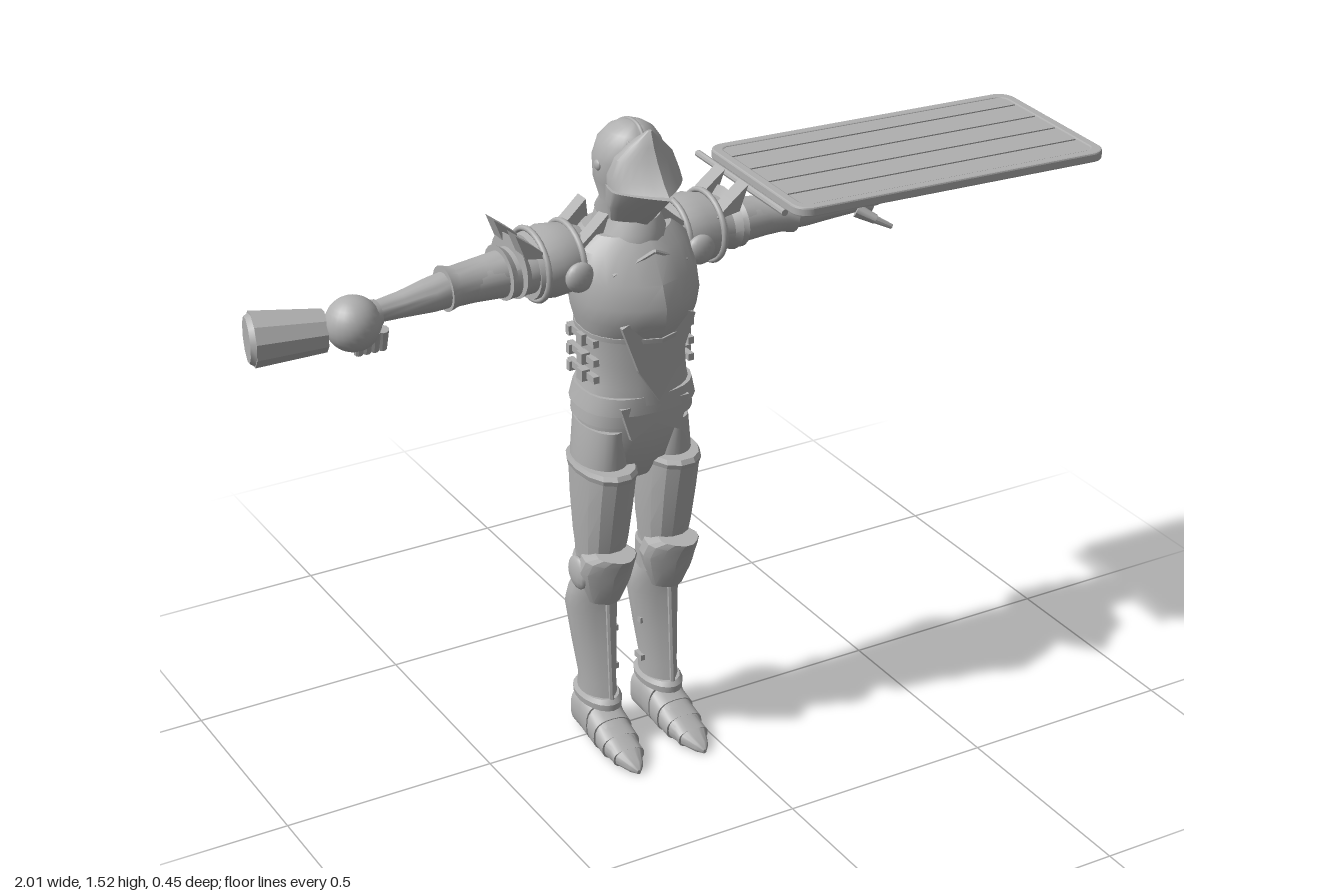
import * as THREE from 'three';
import { toCreasedNormals } from 'three/addons/utils/BufferGeometryUtils.js';

const steel = new THREE.MeshStandardMaterial({ color: 0xb0b0b0 });
steel.name = 'steel grey';
const CX = -0.142; // body centre line

function add(parent, name, geo, pos = [0, 0, 0], rot = [0, 0, 0], scale = [1, 1, 1]) {
  const m = new THREE.Mesh(geo, steel);
  m.name = name;
  m.position.set(...pos);
  m.rotation.set(...rot);
  m.scale.set(...scale);
  parent.add(m);
  return m;
}

// Closed loft. Rows: [t along axis, half width, high side, low side, sideways centre].
// keel 0 = round front, 1 = pointed front; pow < 1 squares the section off.
function loft(axis, rows, { n = 24, keel = 0, pow = 1, crease = 0.6, side = 1 } = {}) {
  const p = [], idx = [];
  const put = (t, u, v) => {
    if (axis === 'y') p.push(u, t, v);
    else if (axis === 'z') p.push(u, v, t);
    else p.push(t * side, v, u);
  };
  for (const [t, h, hi, lo, c = 0] of rows) {
    for (let i = 0; i < n; i++) {
      const a = (i / n) * Math.PI * 2, co = Math.cos(a), si = Math.sin(a);
      const u = Math.sign(co) * Math.abs(co) ** pow;
      let v = Math.sign(si) * Math.abs(si) ** pow;
      if (si > 0) v = v * (1 - keel) + (1 - Math.abs(u)) * keel;
      put(t, c + h * u, (hi + lo) / 2 + ((hi - lo) / 2) * v);
    }
  }
  const last = rows.length - 1;
  for (const k of [0, last]) put(rows[k][0], rows[k][4] || 0, (rows[k][2] + rows[k][3]) / 2);
  for (let i = 0; i < n; i++) {
    const j = (i + 1) % n;
    for (let k = 0; k < last; k++) {
      const a = k * n + i, b = k * n + j;
      idx.push(a, a + n, b, b, a + n, b + n);
    }
    idx.push(rows.length * n, i, j, rows.length * n + 1, last * n + j, last * n + i);
  }
  // turn the faces outward whichever way the axis runs
  const flip = axis === 'y' ? false : axis === 'z' ? true : side < 0;
  if (flip) for (let i = 0; i < idx.length; i += 3) [idx[i], idx[i + 1]] = [idx[i + 1], idx[i]];
  const g = new THREE.BufferGeometry();
  g.setAttribute('position', new THREE.Float32BufferAttribute(p, 3));
  g.setIndex(idx);
  return toCreasedNormals(g, crease);
}

// Tapered rod between two points
function rod(parent, name, a, b, ra, rb, n = 10) {
  const A = new THREE.Vector3(...a), B = new THREE.Vector3(...b), d = B.clone().sub(A);
  const g = toCreasedNormals(new THREE.CylinderGeometry(rb, ra, d.length(), n), 0.7);
  const m = add(parent, name, g, A.clone().add(B).multiplyScalar(0.5).toArray());
  m.quaternion.setFromUnitVectors(new THREE.Vector3(0, 1, 0), d.normalize());
  return m;
}

function fin(points, depth) {
  const s = new THREE.Shape(points.map((q) => new THREE.Vector2(...q)));
  return new THREE.ExtrudeGeometry(s, { depth, bevelEnabled: false }).translate(0, 0, -depth / 2);
}

function helmet() {
  const g = new THREE.Group();
  g.name = 'helmet';
  add(g, 'skull', loft('y', [[1.27, .06, .08, -.055], [1.305, .066, .09, -.062], [1.335, .064, .09, -.035], [1.38, .076, .1, -.05],
    [1.43, .078, .11, -.055], [1.465, .068, .105, -.045], [1.49, .05, .092, -.022], [1.505, .028, .075, .008], [1.511, .006, .055, .035]]));
  add(g, 'lowerVisor', loft('y', [[1.295, .058, .105, 0], [1.34, .074, .155, 0], [1.383, .081, .203, 0]], { keel: .75, crease: .5 }));
  add(g, 'upperVisor', loft('y', [[1.39, .082, .2, .01], [1.41, .08, .18, .015], [1.45, .066, .152, .04], [1.48, .038, .136, .07], [1.512, .005, .124, .112]],
    { keel: .6, crease: .5 }));
  for (const x of [-.035, 0, .035]) { // raised ridges over the crown
    const c = new THREE.CatmullRomCurve3([[.1, 1.478], [.07, 1.507], [.02, 1.507], [-.03, 1.475], [-.057, 1.43], [-.052, 1.385], [-.04, 1.34]]
      .map(([z, y]) => new THREE.Vector3(x * .9, y - Math.abs(x) * .55, z + Math.abs(x) * (z < 0 ? .25 : 0))));
    add(g, 'crownRidge', new THREE.TubeGeometry(c, 24, .005, 6));
  }
  for (const s of [-1, 1]) add(g, 'visorPivot', new THREE.SphereGeometry(.012, 12, 8), [s * .077, 1.42, .03], [0, 0, 0], [.5, 1, 1]);
  return g;
}

function torso() {
  const g = new THREE.Group();
  g.name = 'torso';
  add(g, 'collar', loft('y', [[1.24, .09, .12, -.07], [1.275, .075, .115, -.068], [1.3, .068, .1, -.06]]));
  add(g, 'breastplate', loft('y', [[1.05, .122, .165, -.075], [1.09, .134, .185, -.082], [1.13, .14, .19, -.085], [1.18, .14, .172, -.088],
    [1.24, .128, .137, -.08], [1.27, .095, .11, -.068]], { keel: .3, pow: .8 }));
  add(g, 'breastRim', loft('y', [[1.045, .125, .17, -.079], [1.056, .126, .172, -.079]], { keel: .3, pow: .8 }));
  add(g, 'waistPlate', loft('y', [[.89, .127, .152, -.075], [.93, .117, .15, -.068], [.98, .113, .148, -.062], [1.06, .122, .15, -.07]], { keel: .25, pow: .8 }));
  add(g, 'plackartPoint', fin([[-.09, 1.09], [0, 1.13], [.09, 1.09], [.05, .98], [0, .9], [-.05, .98]], .012), [0, 0, .15]);
  add(g, 'fauldUpper', loft('y', [[.87, .137, .148, -.082], [.91, .128, .145, -.074]], { pow: .8 }));
  add(g, 'fauldLower', loft('y', [[.838, .134, .137, -.077], [.875, .13, .138, -.074]], { pow: .8 }));
  add(g, 'frontTab', fin([[-.085, .89], [.085, .89], [.06, .81], [0, .84], [-.06, .81]], .012), [0, 0, .133]);
  add(g, 'pelvis', loft('y', [[.68, .045, .07, -.03], [.73, .11, .1, -.06], [.8, .122, .118, -.068], [.87, .12, .118, -.068]], { pow: .85 }));
  // crossing seams on the chest
  for (const s of [-1, 1]) {
    rod(g, 'chestSeam', [0, 1.245, .137], [s * .09, 1.2, .117], .005, .005, 6);
    for (const y of [.95, .99, 1.035]) { // side straps and buckles
      add(g, 'sideStrap', new THREE.BoxGeometry(.014, .016, .12), [s * .118, y, .03]);
      add(g, 'buckle', new THREE.BoxGeometry(.02, .026, .024), [s * .126, y, .045]);
      add(g, 'strapEnd', new THREE.BoxGeometry(.016, .022, .014), [s * .124, y - .004, -.015]);
    }
  }
  return g;
}

function leg(s) {
  const g = new THREE.Group();
  g.name = s > 0 ? 'leftLeg' : 'rightLeg';
  g.position.x = s * .08;
  const facet = { n: 14, crease: .35, pow: .9 };
  add(g, 'thigh', loft('y', [[.42, .045, .055, -.035], [.6, .055, .09, -.05], [.72, .058, .11, -.06], [.82, .045, .112, -.062]]));
  add(g, 'thighPlate', loft('y', [[.48, .05, .085, -.032], [.55, .057, .105, -.045], [.64, .062, .125, -.056], [.715, .063, .142, -.066]], facet));
  add(g, 'thighRim', loft('y', [[.708, .063, .142, -.067], [.72, .066, .147, -.071], [.73, .062, .14, -.066]], facet));
  add(g, 'kneePlate', loft('y', [[.38, .04, .085, .01], [.43, .058, .112, -.005], [.465, .066, .125, -.015], [.5, .062, .146, .0], [.518, .045, .155, .05]],
    { n: 14, crease: .35, keel: .4 }));
  add(g, 'kneeBand', loft('y', [[.415, .056, .07, -.035], [.48, .058, .085, -.04]], facet));
  add(g, 'kneeWing', new THREE.SphereGeometry(.04, 14, 8), [s * .056, .45, .025], [0, 0, 0], [.35, 1, 1]);
  add(g, 'shinPlate', loft('y', [[.11, .042, .072, -.058], [.16, .041, .066, -.052], [.25, .051, .056, -.068], [.34, .059, .052, -.087],
    [.38, .058, .058, -.07], [.415, .052, .06, -.048]], { n: 16, crease: .45, keel: .3 }));
  add(g, 'ankleRim', loft('y', [[.1, .046, .084, -.075], [.115, .048, .084, -.075], [.125, .042, .074, -.06]], { n: 20 }));
  rod(g, 'shinRidge', [0, .4, .059], [0, .125, .072], .006, .006, 6);
  for (const y of [.17, .27]) add(g, 'shinStrap', new THREE.BoxGeometry(.012, .014, .03), [-s * .045, y, 0]);
  // sabaton with overlapping lames
  const f = new THREE.Group();
  f.name = 'foot';
  f.rotation.y = s * .03;
  g.add(f);
  add(f, 'shoe', loft('z', [[-.072, .025, .07, 0], [-.055, .04, .1, 0], [0, .044, .112, 0], [.05, .046, .09, 0], [.11, .044, .06, 0], [.16, .034, .04, 0],
    [.195, .018, .024, 0], [.21, .004, .012, .002]], { pow: .75 }));
  [[.03, .048, .108], [.07, .049, .085], [.11, .047, .064], [.15, .039, .048]].forEach(([z, h, y]) =>
    add(f, 'footLame', loft('z', [[z - .025, h - .002, y + .008, 0], [z + .01, h, y - .008, 0]], { pow: .75 })));
  return g;
}

function arm(s) {
  const g = new THREE.Group();
  g.name = s > 0 ? 'leftArm' : 'rightArm';
  const o = { side: s };
  add(g, 'upperArm', loft('x', [[.1, .06, 1.25, 1.14, -.015], [.27, .055, 1.245, 1.145, -.02], [.41, .043, 1.235, 1.155, -.015]], o));
  add(g, 'upperArmPlate', loft('x', [[.27, .054, 1.25, 1.148, -.02], [.33, .05, 1.243, 1.15, -.02], [.4, .046, 1.238, 1.152, -.015], [.425, .052, 1.246, 1.146, -.012]], o));
  add(g, 'forearm', loft('x', [[.41, .043, 1.234, 1.155, -.012], [.46, .04, 1.229, 1.156, -.006], [.53, .03, 1.218, 1.162, .002], [.585, .025, 1.212, 1.165, .006],
    [.62, .032, 1.216, 1.16, .008]], o));
  // shoulder dome and overlapping lames
  add(g, 'shoulderDome', loft('x', [[.09, .065, 1.262, 1.14, -.018], [.13, .085, 1.278, 1.13, -.018], [.18, .092, 1.283, 1.125, -.02], [.23, .08, 1.27, 1.13, -.02]], o));
  add(g, 'shoulderLame', loft('x', [[.2, .078, 1.268, 1.145, -.02], [.25, .076, 1.262, 1.145, -.02], [.265, .086, 1.282, 1.14, -.02]], o));
  add(g, 'shoulderCuff', loft('x', [[.23, .066, 1.255, 1.145, -.02], [.275, .064, 1.25, 1.142, -.02], [.29, .07, 1.26, 1.14, -.02]], o));
  for (const t of [.13, .215]) add(g, 'shoulderRidge', new THREE.TorusGeometry(.084, .007, 8, 32), [s * t, 1.203, -.02], [0, Math.PI / 2, 0], [1.04, .93, 1]);
  for (const z of [-.07, .03]) {
    add(g, 'outerSpike', fin([[s * .2, 1.24], [s * .262, 1.25], [s * .284, 1.308], [s * .245, 1.278]], .04), [0, 0, z]);
    add(g, 'neckGuard', fin([[s * .07, 1.22], [s * .13, 1.25], [s * .1, 1.275], [s * .062, 1.31], [s * .058, 1.27]], .035), [0, 0, z]);
  }
  for (const z of [-.102, .078]) add(g, 'armpitDisc', new THREE.SphereGeometry(.034, 20, 12), [s * .148, 1.195, z], [0, 0, 0], [1, 1, .55]);
  return g;
}

// Open left hand
function hand() {
  const g = new THREE.Group();
  g.name = 'leftHand';
  add(g, 'palm', loft('x', [[.595, .024, 1.21, 1.17, .01], [.63, .036, 1.212, 1.178, .012], [.67, .036, 1.21, 1.186, .012]]));
  [[-.018, .725], [.002, .742], [.022, .74], [.042, .72]].forEach(([z, x], i) =>
    rod(g, 'finger' + (i + 1), [.66, 1.2, z * .85], [x, 1.194 + .004 * (i % 2), z * 1.4], .011, .006));
  rod(g, 'thumb', [.58, 1.178, .03], [.615, 1.158, .055], .016, .011);
  rod(g, 'thumbTip', [.61, 1.16, .052], [.65, 1.138, .068], .01, .006);
  return g;
}

// Right gauntlet closed on a faceted barrel-shaped head
function gauntletAndMace() {
  const g = new THREE.Group();
  g.name = 'gauntletAndMace';
  add(g, 'gauntletBall', new THREE.SphereGeometry(.06, 24, 16), [-.788, 1.178, .014]);
  for (let i = 0; i < 4; i++) rod(g, 'curledFinger', [-.735 - i * .018, 1.165, .045], [-.732 - i * .018, 1.115, .03], .013, .01);
  add(g, 'gauntletCuff', loft('x', [[-.76, .05, 1.22, 1.145, .012], [-.73, .034, 1.214, 1.158, .008]], { n: 16, side: 1 }));
  const head = rod(g, 'maceHead', [-.838, 1.16, -.02], [-.988, 1.162, -.05], .045, .06, 10);
  head.geometry = toCreasedNormals(new THREE.CylinderGeometry(.06, .046, .153, 10), .2);
  rod(g, 'maceCap', [-.985, 1.162, -.049], [-.998, 1.162, -.052], .058, .05, 10);
  return g;
}

function roundRect(w, h, r) {
  const s = new THREE.Shape();
  s.absarc(w - r, h - r, r, 0, Math.PI / 2).absarc(-w + r, h - r, r, Math.PI / 2, Math.PI)
    .absarc(-w + r, -h + r, r, Math.PI, Math.PI * 1.5).absarc(w - r, -h + r, r, Math.PI * 1.5, Math.PI * 2);
  s.closePath();
  return s;
}

function shield() {
  const g = new THREE.Group();
  g.name = 'shield';
  g.position.set(.594, 1.273, -.006);
  g.rotation.set(0, -.035, -.016);
  const flat = [-Math.PI / 2, 0, 0];
  add(g, 'board', new THREE.ExtrudeGeometry(roundRect(.395, .207, .035), { depth: .01, bevelEnabled: false }), [0, -.006, 0], flat);
  const rim = roundRect(.398, .208, .035);
  rim.holes.push(roundRect(.382, .192, .028));
  add(g, 'rim', new THREE.ExtrudeGeometry(rim, { depth: .015, bevelEnabled: true, bevelSize: .004, bevelThickness: .004, bevelSegments: 2 }), [0, -.008, 0], flat);
  const seams = [-.19, -.13, -.047, .036, .118, .19];
  for (let i = 0; i < 5; i++) { // planks with open seams
    const w = seams[i + 1] - seams[i] - .006;
    add(g, 'plank', new THREE.BoxGeometry(.755, .005, w), [0, .0065, (seams[i] + seams[i + 1]) / 2]);
  }
  for (let i = 0; i < 5; i++) // hanging strap loops
    add(g, 'strapLoop', new THREE.TorusGeometry(.014, .004, 6, 14), [-.23 + i * .05, -.022, .01], [0, .5, 0], [.8, 1.1, 1]);
  add(g, 'gripPlate', new THREE.BoxGeometry(.1, .008, .03), [0, -.03, .01]);
  add(g, 'gripPost', new THREE.BoxGeometry(.012, .026, .02), [-.04, -.018, .01]);
  return g;
}

export function createModel() {
  const root = new THREE.Group();
  root.name = 'armouredFigure';
  const body = new THREE.Group();
  body.name = 'body';
  body.position.x = CX;
  body.add(helmet(), torso(), leg(1), leg(-1), arm(1), arm(-1), hand());
  root.add(body, gauntletAndMace(), shield());
  rod(root, 'shieldCrossBar', [.17, 1.284, -.215], [.158, 1.284, .175], .008, .008, 8);
  return root;
}
